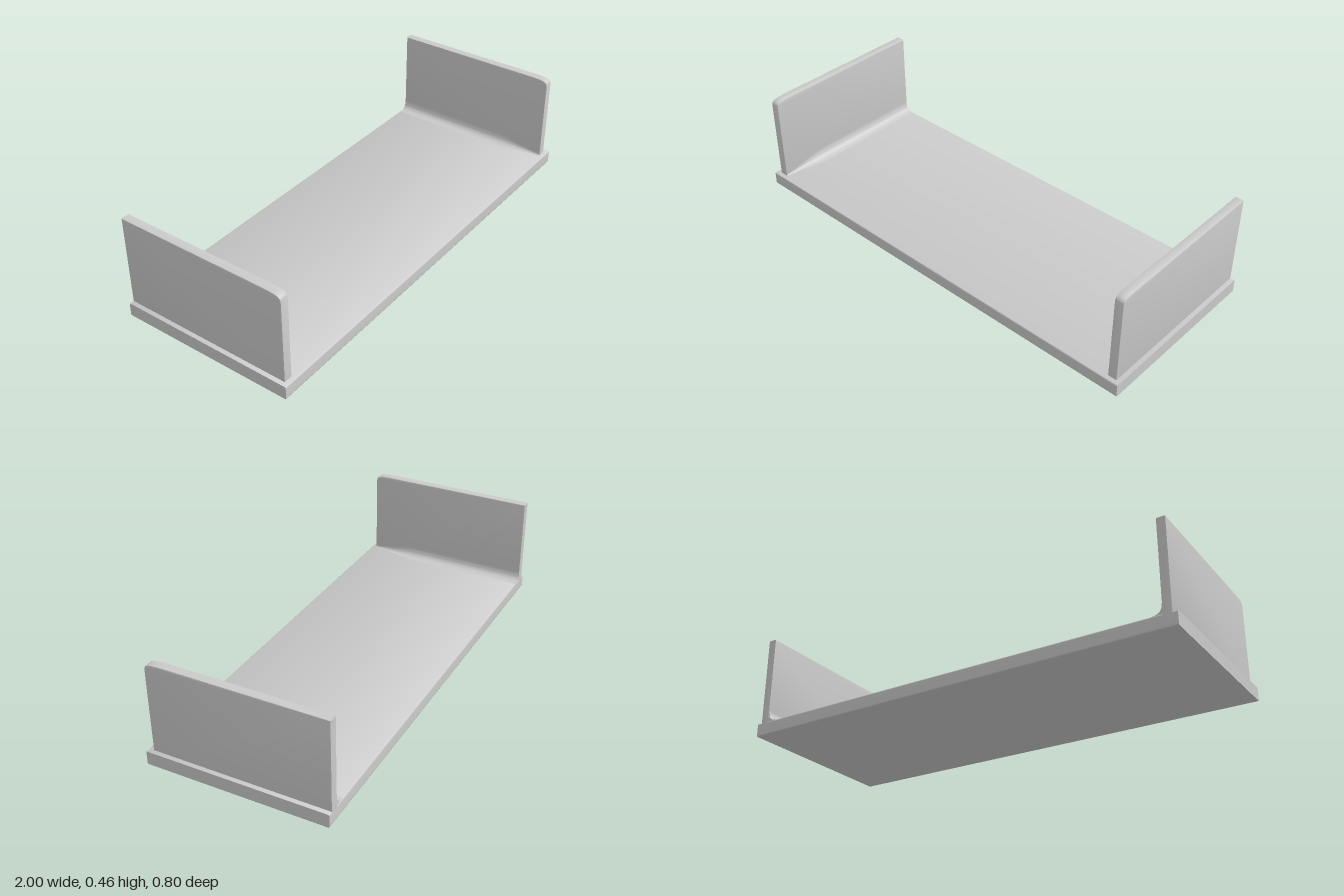
import * as THREE from 'three';
import { toCreasedNormals } from 'three/addons/utils/BufferGeometryUtils.js';

const material = new THREE.MeshStandardMaterial({ color: 0xcccccc });

function addMesh(group, name, geometry) {
  const mesh = new THREE.Mesh(toCreasedNormals(geometry, 0.7), material);
  mesh.name = name;
  group.add(mesh);
}

// Extrude a (-z, y) outline along x, centred on the given x
function extrudeAcross(shape, width, x, bevel) {
  const geometry = new THREE.ExtrudeGeometry(shape, {
    depth: width - 2 * bevel, bevelEnabled: bevel > 0, bevelThickness: bevel,
    bevelSize: bevel, bevelOffset: -bevel, bevelSegments: 2, curveSegments: 8,
  });
  geometry.translate(0, 0, -width / 2 + bevel);
  geometry.rotateY(Math.PI / 2);
  geometry.translate(x, 0, 0);
  return geometry;
}

// Flat slab with softened long edges
function baseShape() {
  const r = 0.006, h = 0.06, d = 0.4;
  const s = new THREE.Shape();
  s.moveTo(-d + r, 0);
  s.lineTo(d - r, 0);
  s.quadraticCurveTo(d, 0, d, r);
  s.lineTo(d, h - r);
  s.quadraticCurveTo(d, h, d - r, h);
  s.lineTo(-d + r, h);
  s.quadraticCurveTo(-d, h, -d, h - r);
  s.lineTo(-d, r);
  s.quadraticCurveTo(-d, 0, -d + r, 0);
  return s;
}

// Upright panel with a rounded upper front corner
function wallShape() {
  const s = new THREE.Shape();
  s.moveTo(-0.38, 0.03);
  s.lineTo(0.4, 0.03);
  s.lineTo(0.4, 0.46);
  s.lineTo(-0.3, 0.46);
  s.bezierCurveTo(-0.36, 0.459, -0.38, 0.455, -0.38, 0.43);
  s.lineTo(-0.38, 0.03);
  return s;
}

// Concave fillet inside the corner, fading out towards the front
function filletGeometry(side) {
  const r = 0.045, e = 0.003;
  const s = new THREE.Shape();
  s.moveTo(side * e, -e);
  s.lineTo(-side * r, -e);
  s.lineTo(-side * r, 0);
  s.quadraticCurveTo(0, 0, 0, r);
  s.lineTo(side * e, r);
  s.lineTo(side * e, -e);
  const geometry = new THREE.ExtrudeGeometry(s, {
    depth: 0.775, steps: 16, curveSegments: 10, bevelEnabled: false,
  });
  const p = geometry.attributes.position;
  for (let i = 0; i < p.count; i++) {
    const z = p.getZ(i) - 0.398;
    const k = 1 - 0.85 * THREE.MathUtils.smoothstep(z, 0.15, 0.377);
    p.setXYZ(i, side * 0.94 + p.getX(i) * k, 0.06 + p.getY(i) * k, z);
  }
  geometry.computeVertexNormals();
  return geometry;
}

export function createModel() {
  const group = new THREE.Group();
  group.name = 'shelf';
  addMesh(group, 'base', extrudeAcross(baseShape(), 2, 0, 0));
  for (const [name, side] of [['left', 1], ['right', -1]]) {
    addMesh(group, name + 'Wall', extrudeAcross(wallShape(), 0.04, side * 0.96, 0.004));
    addMesh(group, name + 'Fillet', filletGeometry(side));
  }
  return group;
}
